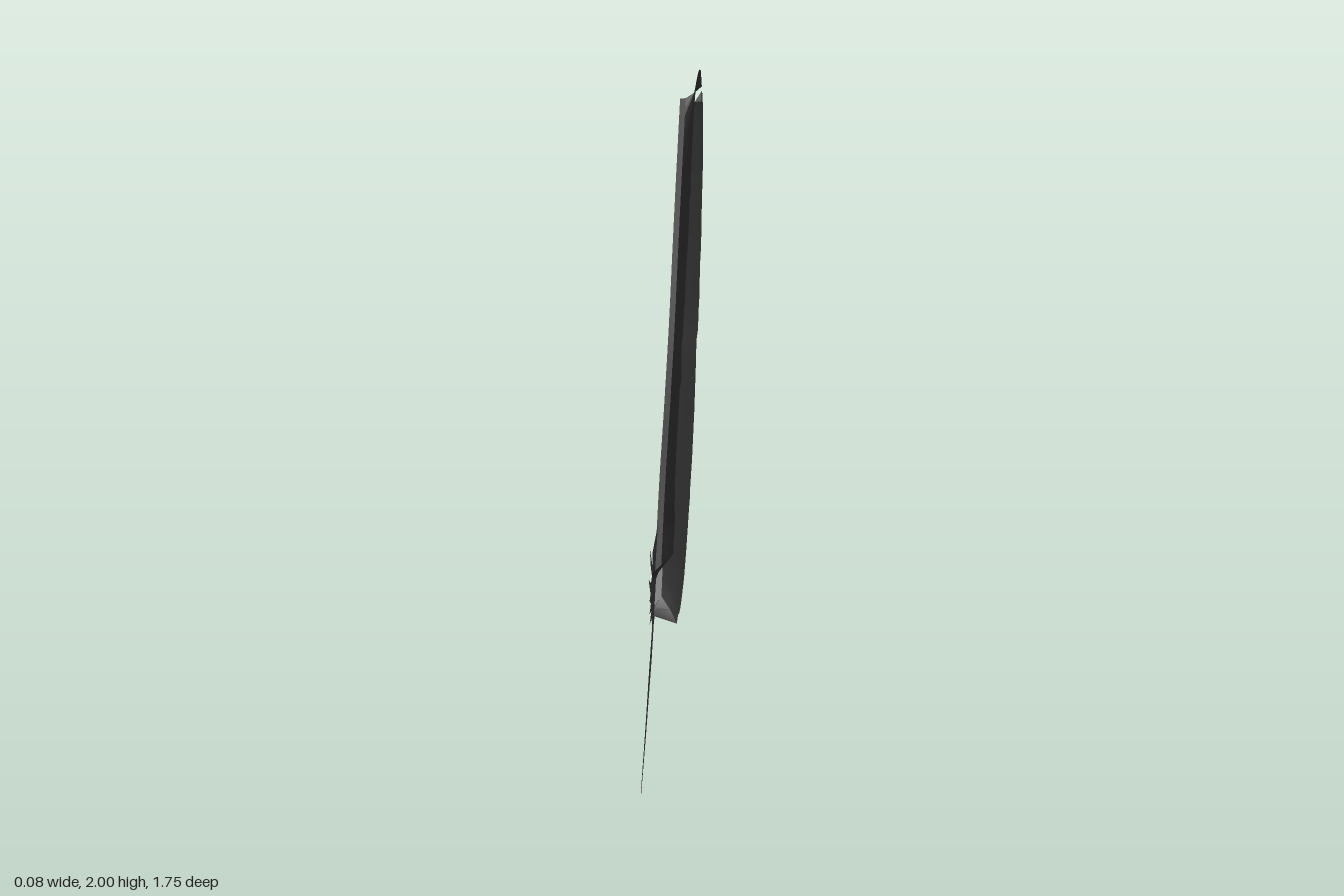
import * as THREE from 'three';
import { toCreasedNormals } from 'three/addons/utils/BufferGeometryUtils.js';

const FLOOR = -0.04; // x of the quill plane
const RIM = 0.03;    // x of the vane edges

// The feather lies in the z-y plane; 2D points are [z, y].
const SHAFT = [[0.42, 0.44], [0.14, 0.73], [-0.1, 0.94], [-0.31, 1.18], [-0.42, 1.37], [-0.55, 1.61], [-0.7, 1.89]];

const FRONT_EDGE = [
  [0.46, 0.5], [0.49, 0.56], [0.525, 0.64], [0.53, 0.675], [0.47, 0.73], [0.49, 0.77], [0.47, 0.86],
  [0.41, 0.95], [0.33, 1.03], [0.275, 1.1], [0.25, 1.17], [0.215, 1.1], [0.2, 1.2], [0.16, 1.28],
  [0.14, 1.23], [0.11, 1.29], [0.06, 1.32], [0, 1.42], [-0.1, 1.51], [-0.15, 1.59], [-0.19, 1.67],
  [-0.2, 1.63], [-0.26, 1.76], [-0.34, 1.86], [-0.39, 1.91], [-0.45, 1.95], [-0.51, 1.98], [-0.57, 1.995],
  [-0.65, 2], [-0.72, 1.99], [-0.75, 1.965], [-0.785, 1.93],
];

const BACK_EDGE = [
  [0.43, 0.4], [0.4, 0.365], [0.33, 0.375], [0.31, 0.36], [0.24, 0.36], [0.19, 0.37], [0.08, 0.4],
  [-0.02, 0.46], [-0.1, 0.52], [-0.16, 0.57], [-0.2, 0.59], [-0.21, 0.62], [-0.31, 0.7], [-0.42, 0.84],
  [-0.49, 0.97], [-0.53, 1.07], [-0.61, 1.09], [-0.65, 1.16], [-0.69, 1.2], [-0.71, 1.3], [-0.77, 1.36],
  [-0.8, 1.45], [-0.81, 1.54], [-0.84, 1.57], [-0.86, 1.64], [-0.875, 1.71], [-0.87, 1.79],
  [-0.855, 1.85], [-0.82, 1.9], [-0.785, 1.915], [-0.75, 1.88],
];

// Downy tuft with its loose barbs, all in one plane
const DOWN = [
  [0.43, 0.375], [0.47, 0.385], [0.51, 0.42], [0.575, 0.425], [0.51, 0.445], [0.575, 0.46], [0.525, 0.475],
  [0.57, 0.5], [0.535, 0.51], [0.6, 0.58], [0.52, 0.54], [0.485, 0.55], [0.53, 0.6], [0.555, 0.665],
  [0.5, 0.61], [0.47, 0.58], [0.46, 0.62], [0.26, 0.645], [0.36, 0.46], [0.37, 0.39],
];

const QUILL = [[0.88, 0], [0.87, 0.025], [0.72, 0.16], [0.61, 0.27], [0.5, 0.37], [0.42, 0.47], [0.36, 0.43],
  [0.43, 0.37], [0.5, 0.29], [0.6, 0.21], [0.71, 0.12]];

const shaftCurve = new THREE.CatmullRomCurve3(SHAFT.map(([z, y]) => new THREE.Vector3(0, y, z)));
const floorAt = (u) => FLOOR - 0.008 * Math.sin(Math.PI * u);

// Point beside the shaft; side is +1 for the front vane, -1 for the back one
function besideShaft(u, offset, x) {
  const p = shaftCurve.getPointAt(u);
  const t = shaftCurve.getTangentAt(u);
  return [x, p.y - t.z * offset, p.z + t.y * offset];
}

// Joins equal-length rows of points into one surface
function loft(rows) {
  const n = rows[0].length;
  const index = [];
  for (let r = 0; r < rows.length - 1; r++) {
    for (let i = 0; i < n - 1; i++) {
      const a = r * n + i;
      index.push(a, a + n, a + 1, a + 1, a + n, a + n + 1);
    }
  }
  const g = new THREE.BufferGeometry();
  g.setAttribute('position', new THREE.Float32BufferAttribute(rows.flat(2), 3));
  g.setIndex(index);
  return toCreasedNormals(g, 0.5);
}

// Vane: a short wall beside the shaft, then a gently rising sheet out to the edge
function vane(edge, side, flatStart) {
  const along = [0];
  for (let i = 1; i < edge.length; i++) {
    along.push(along[i - 1] + Math.hypot(edge[i][0] - edge[i - 1][0], edge[i][1] - edge[i - 1][1]));
  }
  const us = along.map((d) => d / along[along.length - 1]);
  const width = (u) => side * (0.026 - 0.014 * u);
  const lift = (i) => (i < flatStart ? 0 : 1);
  const foot = us.map((u) => besideShaft(u, width(u), floorAt(u)));
  const shoulder = us.map((u, i) => besideShaft(u, width(u) + side * 0.005, floorAt(u) + 0.02 * lift(i)));
  const rim = edge.map(([z, y], i) => [FLOOR + (RIM - FLOOR) * lift(i), y, z]);
  const middle = shoulder.map((s, i) => s.map((v, k) => (v + rim[i][k]) / 2 + (k === 0 ? 0.004 * lift(i) : 0)));
  return loft(side > 0 ? [foot, shoulder, middle, rim] : [rim, middle, shoulder, foot]);
}

// Flat plate in the quill plane
function plate(points) {
  const g = new THREE.ShapeGeometry(new THREE.Shape(points.map(([z, y]) => new THREE.Vector2(z, y))));
  const p = g.attributes.position;
  for (let i = 0; i < p.count; i++) p.setXYZ(i, FLOOR, p.getY(i), p.getX(i));
  g.computeVertexNormals();
  return g;
}

// Narrow strip along the bottom of the groove
function shaft() {
  const us = Array.from({ length: 33 }, (_, i) => i / 32);
  return loft([-1, 1].map((s) => us.map((u) => besideShaft(u, s * (0.026 - 0.014 * u), floorAt(u)))));
}

export function createModel() {
  const model = new THREE.Group();
  model.name = 'feather';
  const charcoal = new THREE.MeshStandardMaterial({ color: 0x383838, side: THREE.DoubleSide });
  charcoal.name = 'charcoal';
  const parts = {
    frontVane: vane(FRONT_EDGE, 1, 2),
    backVane: vane(BACK_EDGE, -1, 1),
    shaft: shaft(),
    quill: plate(QUILL),
    downyTuft: plate(DOWN),
  };
  for (const [name, geometry] of Object.entries(parts)) {
    const mesh = new THREE.Mesh(geometry, charcoal);
    mesh.name = name;
    model.add(mesh);
  }
  return model;
}
